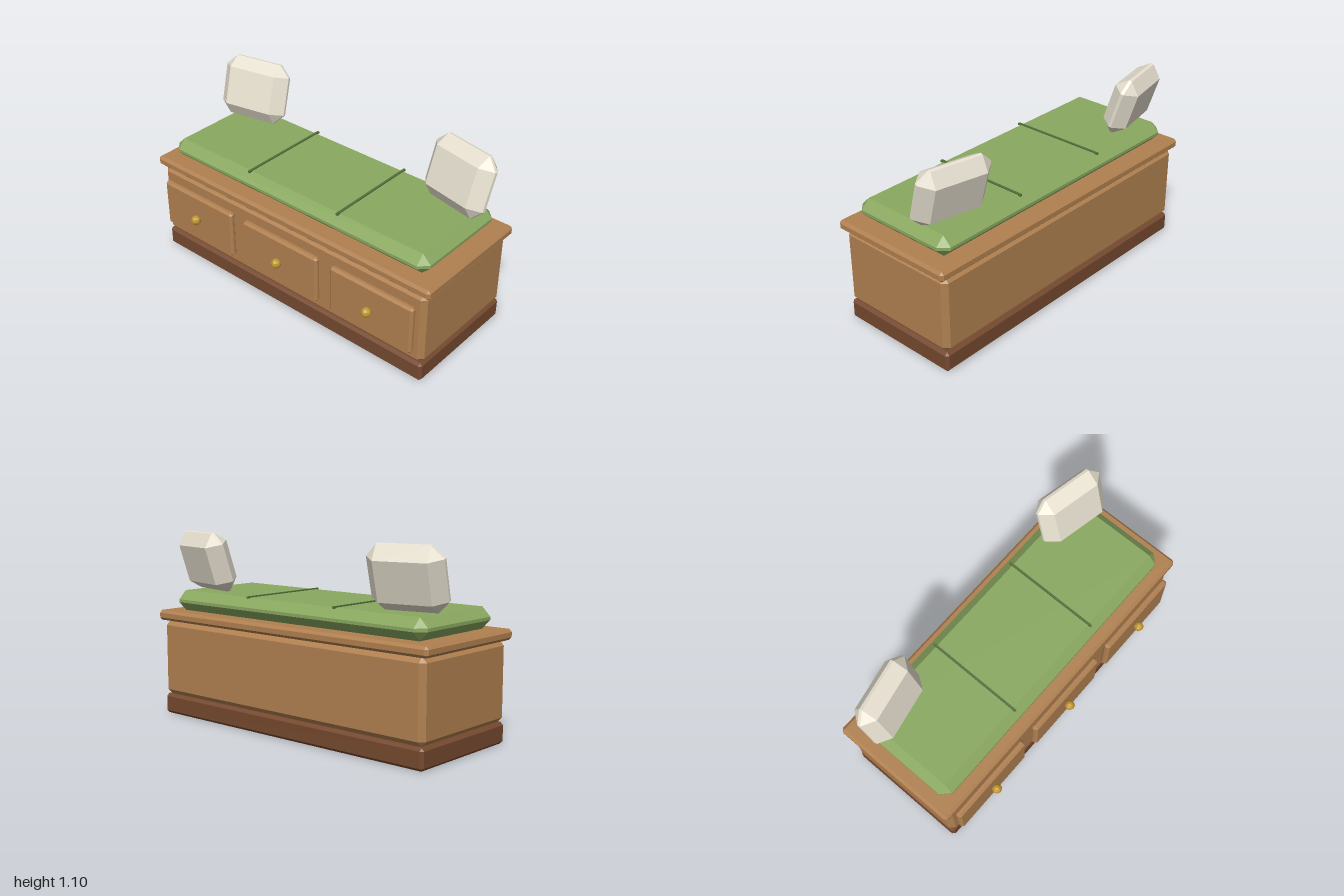
import * as THREE from 'three';
import { ConvexGeometry } from 'three/addons/geometries/ConvexGeometry.js';

const mat = (color) => new THREE.MeshStandardMaterial({ color, flatShading: true });

// Box with every edge and corner cut off by c
function chamferBox(w, h, d, c) {
  const points = [];
  const half = [w / 2, h / 2, d / 2];
  for (const sx of [-1, 1]) for (const sy of [-1, 1]) for (const sz of [-1, 1]) {
    for (let axis = 0; axis < 3; axis++) {
      const p = half.map((v, i) => (i === axis ? v : v - c));
      points.push(new THREE.Vector3(sx * p[0], sy * p[1], sz * p[2]));
    }
  }
  return new ConvexGeometry(points);
}

export function createModel() {
  const group = new THREE.Group();
  const wood = mat(0xb08050);
  const darkWood = mat(0x75492f);
  const green = mat(0x8aa860);
  const seamGreen = mat(0x55703c);
  const linen = mat(0xe6dfcf);
  const brass = mat(0xc09530);

  const add = (name, geometry, material, x, y, z) => {
    const mesh = new THREE.Mesh(geometry, material);
    mesh.name = name;
    mesh.position.set(x, y, z);
    group.add(mesh);
    return mesh;
  };

  // Chest: plinth, body and overhanging lid
  const zc = -0.038;
  add('plinth', chamferBox(1.94, 0.12, 0.745, 0.016), darkWood, 0, 0.06, zc);
  add('body', chamferBox(1.94, 0.45, 0.745, 0.029), wood, 0, 0.345, zc);
  add('lid', chamferBox(2, 0.06, 0.775, 0.016), wood, 0, 0.6, zc);

  // Seat cushion
  add('cushion', chamferBox(1.85, 0.12, 0.655, 0.051), green, 0, 0.69, zc);

  // Drawer fronts with knobs
  for (const x of [-0.647, 0, 0.647]) {
    add('drawerFront', chamferBox(0.555, 0.298, 0.042, 0.013), wood, x, 0.346, 0.355);
    add('knob', new THREE.SphereGeometry(0.03, 8, 6), brass, x, 0.346, 0.397);
  }

  // Cushion seams and leaning pillows, mirrored left and right
  for (const side of [-1, 1]) {
    add('cushionSeam', new THREE.BoxGeometry(0.013, 0.012, 0.595), seamGreen, side * 0.323, 0.751, zc);
    const pillow = add('pillow', chamferBox(0.435, 0.36, 0.15, 0.066), linen, side * 0.747, 0.93, -0.248);
    pillow.rotation.set(-0.3, -side * 0.2, 0, 'YXZ');
  }

  return group;
}
